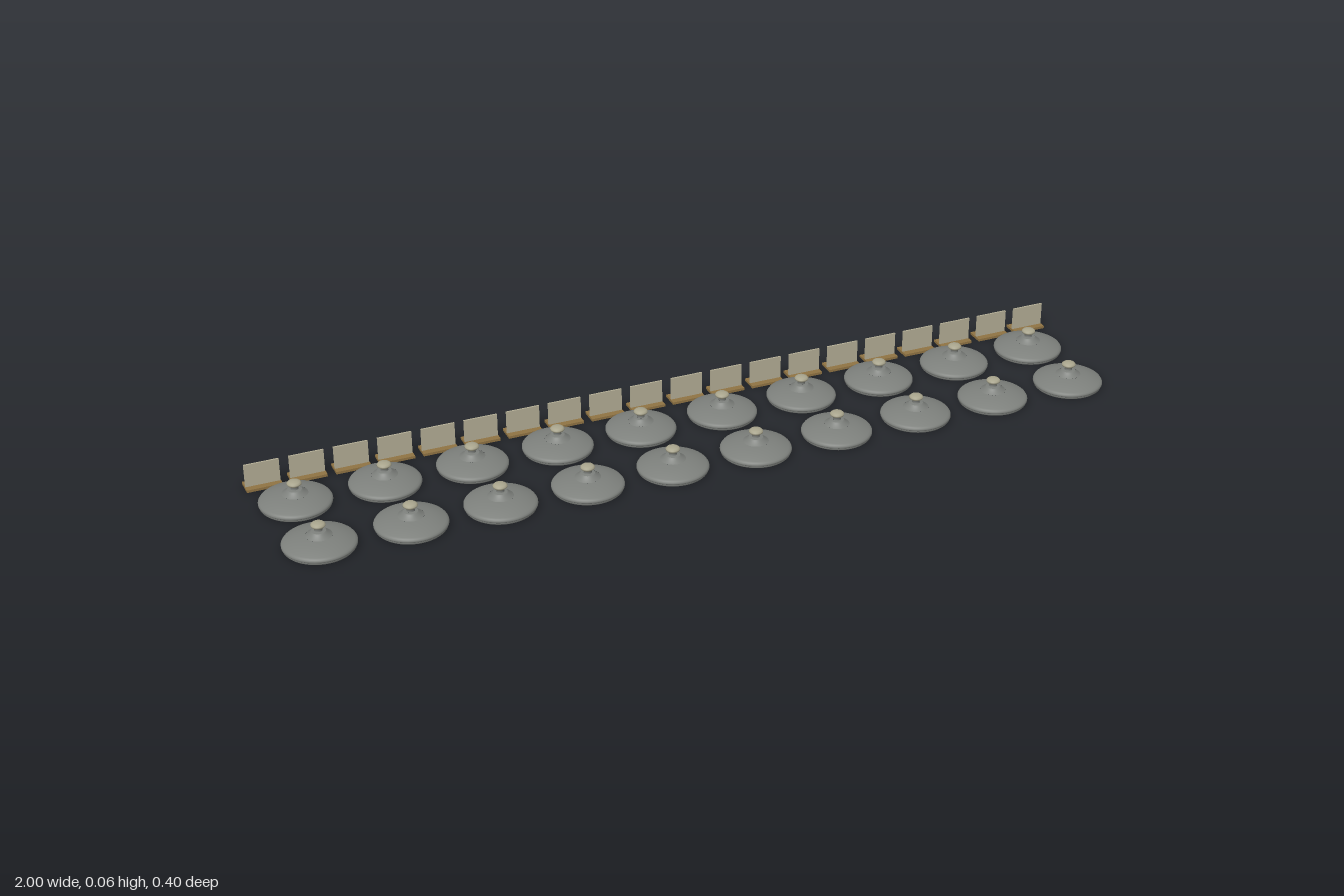
import * as THREE from 'three';

const mat = (name, color) => {
  const m = new THREE.MeshStandardMaterial({ color });
  m.name = name;
  return m;
};

// Lathe from [radius, height] pairs listed bottom to top
const lathe = (pts, segments) =>
  new THREE.LatheGeometry(pts.map(([r, y]) => new THREE.Vector2(r, y)), segments);

export function createModel() {
  const root = new THREE.Group();
  root.name = 'lidsAndCards';

  const iron = mat('ironGrey', 0x7d807c);
  const pale = mat('paleKnob', 0xa9a58d);
  const board = mat('cardStone', 0xb3ad95);
  const wood = mat('brownWood', 0x8f7343);
  const ink = mat('darkInk', 0x2b2824);

  const add = (parent, name, geometry, material, x = 0, y = 0, z = 0) => {
    const mesh = new THREE.Mesh(geometry, material);
    mesh.name = name;
    mesh.position.set(x, y, z);
    parent.add(mesh);
    return mesh;
  };

  // Lid pieces, split where the profile has a hard edge
  const lidParts = [
    ['underside', lathe([[0, 0], [0.077, 0]], 48), iron],
    ['lowerRim', lathe([[0.077, 0], [0.079, 0.002], [0.079, 0.005]], 48), iron],
    ['rimBead', lathe([[0.079, 0.005], [0.081, 0.007], [0.081, 0.01], [0.079, 0.013], [0.075, 0.015]], 48), iron],
    ['dome', lathe([[0.075, 0.015], [0.066, 0.019], [0.055, 0.0225], [0.043, 0.0255], [0.029, 0.0275]], 48), iron],
    ['collar', lathe([[0.029, 0.0275], [0.023, 0.031], [0.019, 0.035], [0.016, 0.0375]], 32), iron],
    ['collarTop', lathe([[0.016, 0.0375], [0.009, 0.0385]], 32), iron],
    ['stem', lathe([[0.009, 0.0385], [0.008, 0.042], [0.01, 0.046]], 20), iron],
    ['knob', lathe([[0.008, 0.045], [0.013, 0.047], [0.016, 0.05], [0.016, 0.053], [0.013, 0.056], [0.007, 0.0575], [0, 0.058]], 24), pale],
  ];
  // The underside ring was drawn outward, so flip it to face down
  lidParts[0][1] = new THREE.CircleGeometry(0.077, 48).rotateX(Math.PI / 2);

  // Two rows of ten lids
  for (const z of [0.1175, -0.0695]) {
    for (let i = 0; i < 10; i++) {
      const lid = new THREE.Group();
      lid.name = 'lid';
      lid.position.set(-0.914 + 0.202 * i, 0, z);
      for (const [name, geometry, material] of lidParts) add(lid, name, geometry, material);
      root.add(lid);
    }
  }

  // Row of twenty upright cards on wooden feet, with pips on the back
  const footGeo = new THREE.BoxGeometry(0.081, 0.006, 0.042);
  const cardGeo = new THREE.BoxGeometry(0.079, 0.055, 0.004);
  const pipGeo = new THREE.CircleGeometry(0.0045, 12).rotateY(Math.PI);
  for (let i = 0; i < 20; i++) {
    const stand = new THREE.Group();
    stand.name = 'cardStand';
    stand.position.set(-0.9595 + 0.101 * i, 0, -0.1755);
    add(stand, 'foot', footGeo, wood, 0, 0.0035, 0);
    add(stand, 'card', cardGeo, board, 0, 0.0335, 0.0035);
    const count = 2 + ((i * 3) % 4);
    for (let k = 0; k < count; k++) {
      const x = (k - (count - 1) / 2) * 0.013;
      const y = 0.033 + (((k + i) % 2) ? 0.006 : -0.004);
      add(stand, 'pip', pipGeo, ink, x, y, 0.001);
    }
    root.add(stand);
  }

  return root;
}
